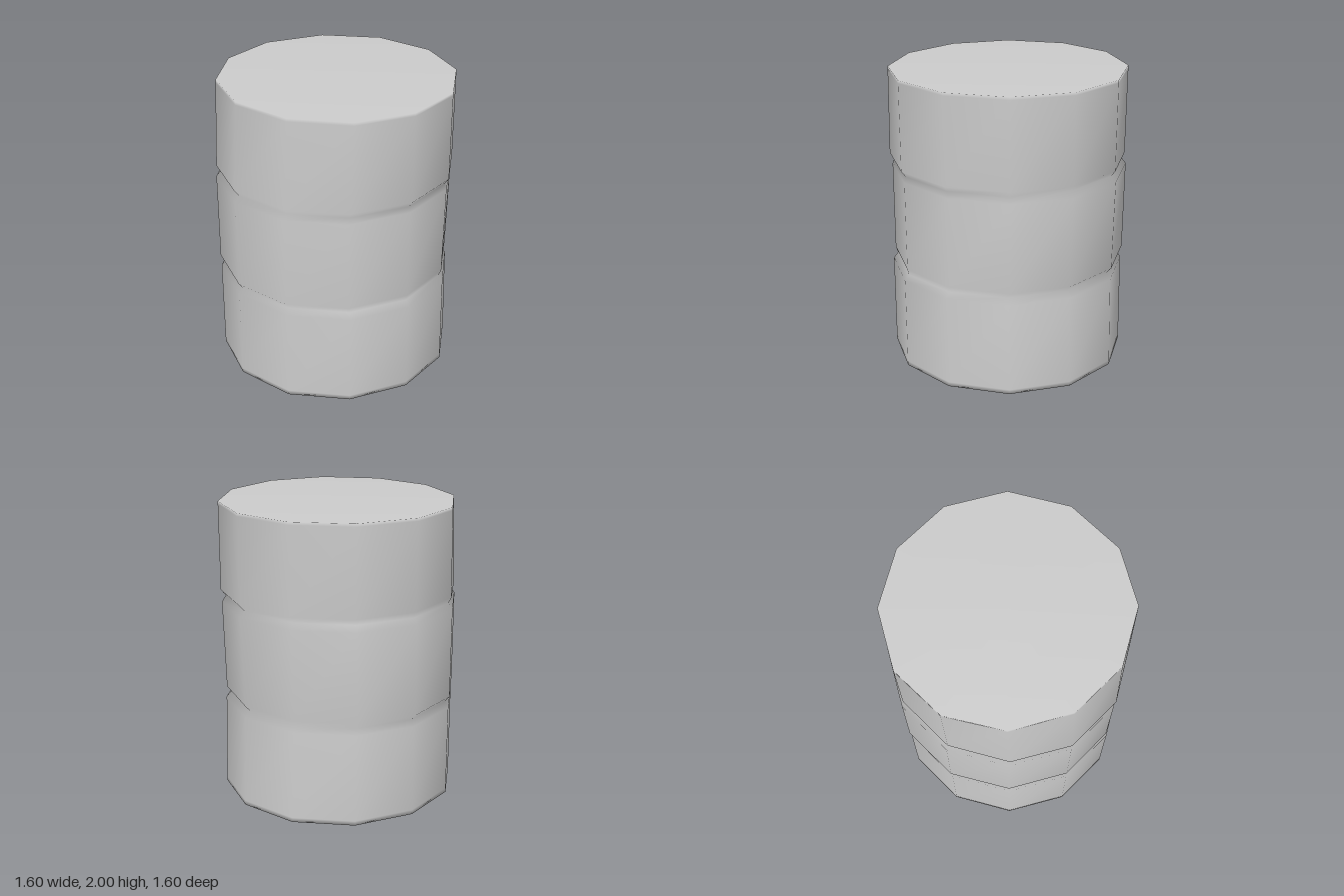
import * as THREE from 'three';

const SIDES = 12;

// Rings from bottom to top: height, then reach toward -x, +x, -z and +z
const RINGS = [
  [0.00, 0.79, 0.795, 0.80, 0.80],
  [0.03, 0.79, 0.795, 0.80, 0.80],
  [0.63, 0.79, 0.795, 0.78, 0.80],
  [0.67, 0.765, 0.765, 0.745, 0.77], // lower groove
  [0.71, 0.80, 0.775, 0.78, 0.80],
  [1.32, 0.80, 0.775, 0.80, 0.80],
  [1.36, 0.77, 0.765, 0.765, 0.77], // upper groove
  [1.40, 0.785, 0.795, 0.80, 0.80],
  [1.98, 0.79, 0.795, 0.80, 0.767],
  [2.00, 0.79, 0.795, 0.80, 0.765],
];

// Closed, smooth-shaded skin through the slightly uneven rings
function barrelGeometry() {
  const positions = [];
  const index = [];
  for (const [y, left, right, back, front] of RINGS) {
    for (let i = 0; i < SIDES; i++) {
      const a = (i / SIDES) * Math.PI * 2;
      const x = Math.sin(a), z = Math.cos(a);
      positions.push(x * (x < 0 ? left : right), y, z * (z < 0 ? back : front));
    }
  }

  // Side wall
  for (let r = 0; r < RINGS.length - 1; r++) {
    for (let i = 0; i < SIDES; i++) {
      const j = (i + 1) % SIDES;
      const a = r * SIDES + i, b = r * SIDES + j;
      index.push(a, b, b + SIDES, a, b + SIDES, a + SIDES);
    }
  }

  // Bottom and lid share the rim vertices, so the rim is softly shaded
  const bottom = positions.length / 3;
  const lid = bottom + 1;
  const top = (RINGS.length - 1) * SIDES;
  positions.push(0, 0, 0, 0, 2, 0);
  for (let i = 0; i < SIDES; i++) {
    const j = (i + 1) % SIDES;
    index.push(bottom, j, i, lid, top + i, top + j);
  }

  const geometry = new THREE.BufferGeometry();
  geometry.setAttribute('position', new THREE.Float32BufferAttribute(positions, 3));
  geometry.setIndex(index);
  geometry.computeVertexNormals();
  return geometry;
}

export function createModel() {
  const group = new THREE.Group();
  group.name = 'barrel';
  const body = new THREE.Mesh(
    barrelGeometry(),
    new THREE.MeshStandardMaterial({ color: 0xcccccc })
  );
  body.name = 'barrelBody';
  group.add(body);
  return group;
}
